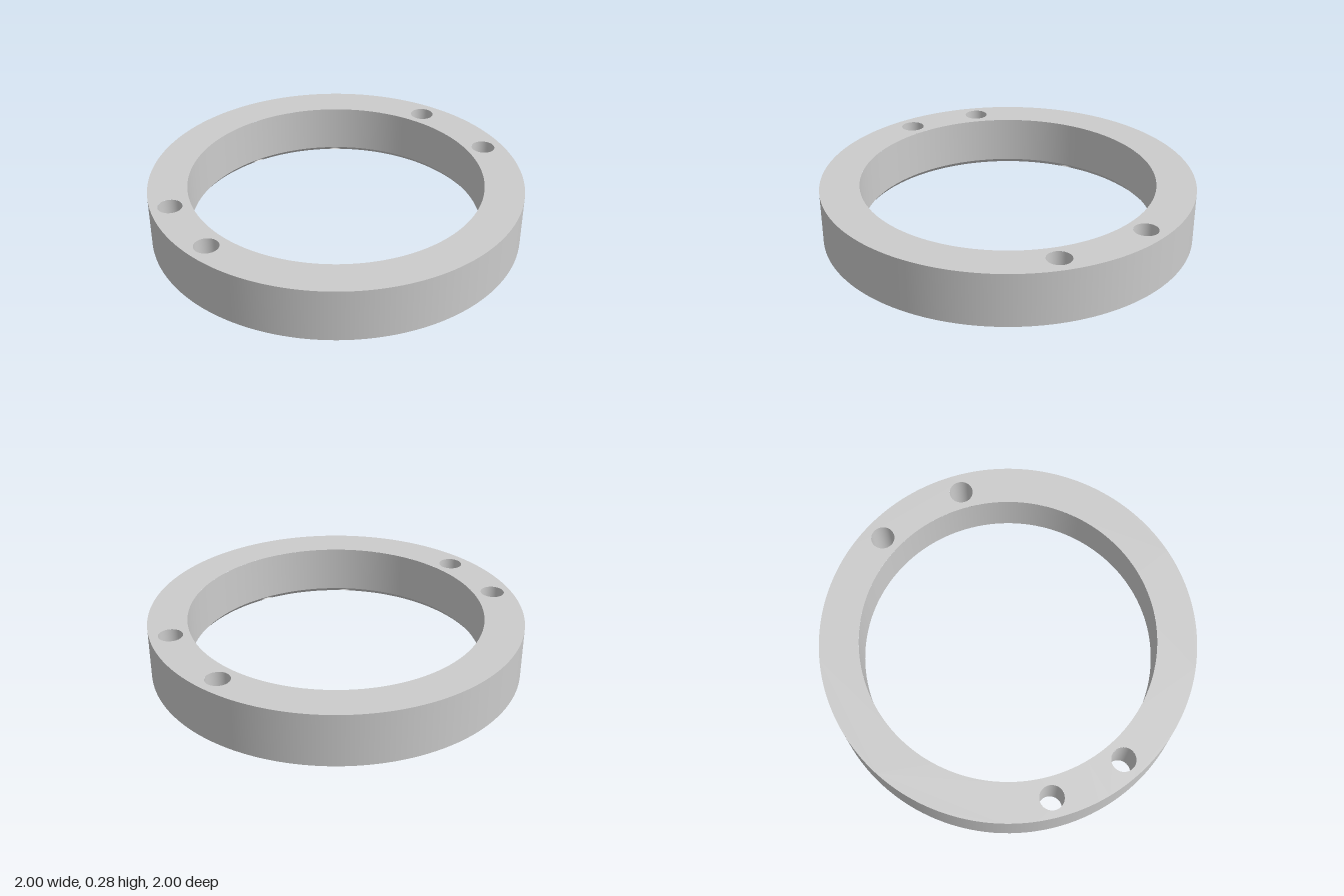
import * as THREE from 'three';

const OUTER = 1, INNER = 0.79, LIP = 0.812, HEIGHT = 0.285, CHAMFER = 0.025;
const HOLE_R = 0.064, SEG = 144;
// Bolt hole centres as [x, z]
const HOLES = [[0.84, -0.3], [0.865, 0.21], [-0.86, -0.255], [-0.88, 0.16]];
// Angles of the shallow dimples in the chamfer
const DIMPLES = [55, 90, 125, 235, 270, 305].map(THREE.MathUtils.degToRad);

export function createModel() {
  const group = new THREE.Group();
  const material = new THREE.MeshStandardMaterial({ color: 0xcccccc });

  const add = (name, geometry) => {
    const mesh = new THREE.Mesh(geometry, material);
    mesh.name = name;
    group.add(mesh);
    return mesh;
  };
  // Wall of revolution: rising profiles face outward, falling ones inward
  const wall = (r0, y0, r1, y1, rows = 1, seg = SEG) => {
    const points = [];
    for (let i = 0; i <= rows; i++) {
      const t = i / rows;
      points.push(new THREE.Vector2(r0 + (r1 - r0) * t, y0 + (y1 - y0) * t));
    }
    return new THREE.LatheGeometry(points, seg);
  };
  // Flat ring pierced by the bolt holes, facing up (1) or down (-1)
  const face = (inner, dir) => {
    const shape = new THREE.Shape().absarc(0, 0, OUTER, 0, Math.PI * 2);
    const cut = (x, y, r) => shape.holes.push(new THREE.Path().absarc(x, y, r, 0, Math.PI * 2, true));
    cut(0, 0, inner);
    HOLES.forEach(([x, z]) => cut(x, -dir * z, HOLE_R));
    return new THREE.ShapeGeometry(shape, SEG).rotateX(-dir * Math.PI / 2);
  };

  // Ring body
  add('topFace', face(INNER, 1)).position.y = HEIGHT;
  add('bottomFace', face(LIP, -1));
  add('outerWall', wall(OUTER, 0, OUTER, HEIGHT));
  add('innerWall', wall(INNER, HEIGHT, INNER, CHAMFER));

  // Chamfer around the lower bore edge, dimpled by pushing its middle rows outward
  const chamfer = wall(INNER, CHAMFER, LIP, 0, 6, SEG * 3);
  const pos = chamfer.attributes.position;
  for (let i = 0; i < pos.count; i++) {
    const x = pos.getX(i), y = pos.getY(i), z = pos.getZ(i);
    const angle = Math.atan2(z, x);
    const across = y / CHAMFER * 2 - 0.7;
    for (const d of DIMPLES) {
      const along = Math.atan2(Math.sin(angle - d), Math.cos(angle - d)) * LIP / 0.045;
      const depth = 0.012 * Math.max(0, 1 - along * along - across * across * 2);
      if (depth > 0) {
        const r = Math.hypot(x, z), s = (r + depth) / r;
        pos.setXYZ(i, x * s, y, z * s);
      }
    }
  }
  chamfer.computeVertexNormals();
  add('chamfer', chamfer);

  // Bolt hole bores
  HOLES.forEach(([x, z]) => {
    add('boltHole', wall(HOLE_R, HEIGHT, HOLE_R, 0, 1, 48)).position.set(x, 0, z);
  });
  return group;
}
